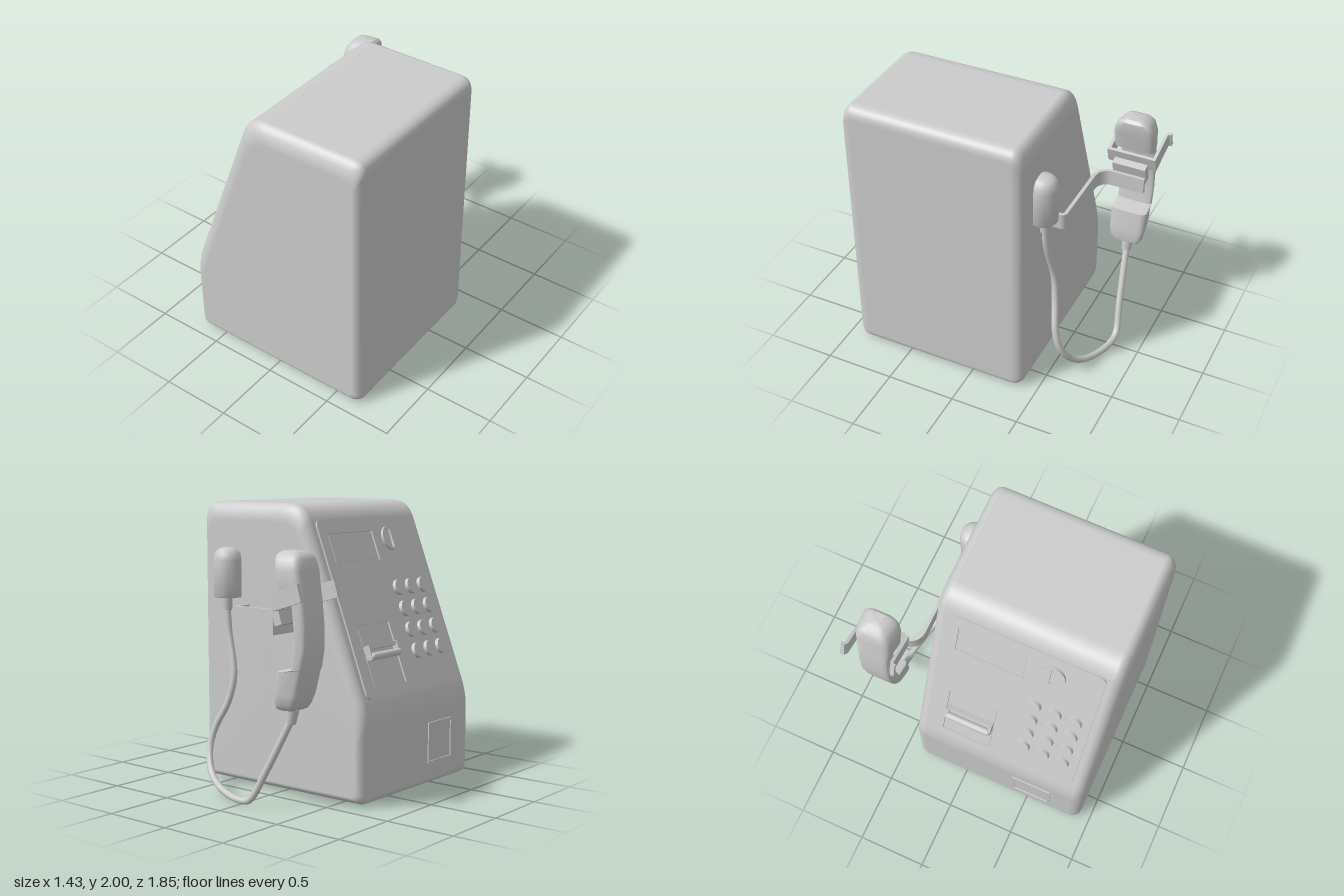
import * as THREE from 'three';
import { toCreasedNormals } from 'three/addons/utils/BufferGeometryUtils.js';

const grey = new THREE.MeshStandardMaterial({ color: 0xcccccc });

function add(parent, name, geo, x = 0, y = 0, z = 0) {
  const mesh = new THREE.Mesh(geo, grey);
  mesh.name = name;
  mesh.position.set(x, y, z);
  parent.add(mesh);
  return mesh;
}

// Skin over closed rings of points, with a fan cap on each end
function loft(rings) {
  const n = rings[0].length, pos = rings.flat(2), idx = [];
  for (let i = 0; i < rings.length - 1; i++)
    for (let j = 0; j < n; j++) {
      const a = i * n + j, b = i * n + (j + 1) % n;
      idx.push(a, b, b + n, a, b + n, a + n);
    }
  [0, rings.length - 1].forEach((r, end) => {
    const c = pos.length / 3;
    for (let k = 0; k < 3; k++) pos.push(rings[r].reduce((s, p) => s + p[k], 0) / n);
    for (let j = 0; j < n; j++) {
      const a = r * n + j, b = r * n + (j + 1) % n;
      if (end) idx.push(c, a, b); else idx.push(c, b, a);
    }
  });
  const g = new THREE.BufferGeometry();
  g.setAttribute('position', new THREE.Float32BufferAttribute(pos, 3));
  g.setIndex(idx);
  g.computeVertexNormals();
  return g;
}

// Case outline in x/y, each edge moved inwards by its own share, corners rounded
const CORNERS = [[-0.71, 0.015], [0.71, 0.015], [0.71, 2], [-0.18, 2], [-0.71, 0.62]];
const INSETS = [0.05, 0.06, 0.13, 0.1, 0.06];
const FILLETS = [0.05, 0.05, 0.09, 0.13, 0.1];
function caseRing(z, amount) {
  const lines = CORNERS.map(([x, y], i) => {
    const [x2, y2] = CORNERS[(i + 1) % 5];
    const l = Math.hypot(x2 - x, y2 - y), nx = (y2 - y) / l, ny = (x - x2) / l;
    return [nx, ny, nx * x + ny * y - INSETS[i] * amount];
  });
  const pts = lines.map(([a, b, d], i) => {
    const [p, q, e] = lines[(i + 4) % 5], det = p * b - q * a;
    return new THREE.Vector2((e * b - q * d) / det, (p * d - e * a) / det);
  });
  return pts.flatMap((c, i) => {
    const toward = (o) => o.clone().sub(c).setLength(FILLETS[i]).add(c);
    return new THREE.QuadraticBezierCurve(toward(pts[(i + 4) % 5]), c, toward(pts[(i + 1) % 5]))
      .getPoints(7).map((p) => [p.x, p.y, z]);
  });
}
function caseGeometry() {
  const rings = [], r = 0.08;
  for (let i = 0; i <= 7; i++) {
    const a = (i / 7) * Math.PI / 2;
    rings.push([-0.395 + r * (1 - Math.cos(a)), 1 - Math.sin(a)]);
  }
  const far = rings.map(([z, k]) => [0.525 - z, k]).reverse();
  return loft([...rings, ...far].map(([z, k]) => caseRing(z, k)));
}

function rect(P, x0, y0, x1, y1, r = 0.002) {
  const p = new P();
  p.moveTo(x0 + r, y0).lineTo(x1 - r, y0).quadraticCurveTo(x1, y0, x1, y0 + r)
    .lineTo(x1, y1 - r).quadraticCurveTo(x1, y1, x1 - r, y1)
    .lineTo(x0 + r, y1).quadraticCurveTo(x0, y1, x0, y1 - r)
    .lineTo(x0, y0 + r).quadraticCurveTo(x0, y0, x0 + r, y0);
  return p;
}
const slab = (shape, depth) => new THREE.ExtrudeGeometry(shape, { depth, bevelEnabled: false, curveSegments: 8 });

// Flat strap following a plan path of [x, z], standing on its edge
function strap(path, thick, height) {
  const p = path.map(([x, z]) => new THREE.Vector2(x, -z));
  const side = (s) => p.map((c, i) => {
    const d1 = c.clone().sub(p[Math.max(i - 1, 0)]).normalize();
    const d2 = p[Math.min(i + 1, p.length - 1)].clone().sub(c).normalize();
    const t = d1.clone().add(d2).normalize();
    const k = s * thick / 2 / Math.max(0.6, Math.max(t.dot(d1), t.dot(d2)));
    return new THREE.Vector2(c.x - t.y * k, c.y + t.x * k);
  });
  const g = slab(new THREE.Shape([...side(1), ...side(-1).reverse()]), height);
  return toCreasedNormals(g.rotateX(-Math.PI / 2), 0.6);
}

// Sloping control panel: local x runs along the case, y up the slope, z outwards
function controlPanel() {
  const g = new THREE.Group();
  g.name = 'controlPanel';
  g.position.set(-0.71, 0.62, 0);
  const up = new THREE.Vector3(0.53, 1.38, 0).normalize();
  const out = new THREE.Vector3(-up.y, up.x, 0);
  g.quaternion.setFromRotationMatrix(new THREE.Matrix4().makeBasis(new THREE.Vector3(0, 0, 1), up, out));

  const plate = rect(THREE.Shape, -0.29, 0.1, 0.81, 1.355, 0.05);
  plate.holes.push(rect(THREE.Path, -0.205, 1.04, 0.293, 1.256), rect(THREE.Path, -0.185, 0.165, 0.18, 0.6));
  add(g, 'panelPlate', slab(plate, 0.012));
  add(g, 'displayWindow', new THREE.BoxGeometry(0.47, 0.19, 0.006), 0.044, 1.148, 0.002);

  // Card reader: two lips with a slot between, held by end blocks
  add(g, 'cardPlate', new THREE.BoxGeometry(0.345, 0.41, 0.01), -0.002, 0.382, 0.002);
  const lip = new THREE.CapsuleGeometry(0.026, 0.29, 6, 12).rotateZ(Math.PI / 2);
  add(g, 'cardLowerLip', lip, -0.003, 0.375, 0.045);
  add(g, 'cardUpperLip', new THREE.BoxGeometry(0.3, 0.025, 0.045), -0.003, 0.44, 0.022);
  add(g, 'cardLipBase', new THREE.BoxGeometry(0.3, 0.04, 0.05), -0.003, 0.375, 0.022);
  for (const s of [-1, 1])
    add(g, 'cardEndBlock', new THREE.BoxGeometry(0.02, 0.1, 0.055), -0.003 + s * 0.16, 0.405, 0.027);

  // Keypad
  const key = new THREE.CylinderGeometry(0.054, 0.058, 0.032, 24).rotateX(Math.PI / 2);
  for (let row = 0; row < 4; row++)
    for (let col = 0; col < 3; col++)
      add(g, 'key', key, 0.4 + col * 0.147, 0.36 + row * 0.155, 0.02);

  // Coin entry: disc with a slot
  const disc = new THREE.Shape().absarc(0, 0, 0.09, 0, Math.PI * 2);
  disc.holes.push(rect(THREE.Path, -0.014, -0.07, 0.014, 0.07));
  add(g, 'coinSlot', toCreasedNormals(slab(disc, 0.022), 0.6), 0.47, 1.19, 0.008);
  return g;
}

// Handset: stations of [y, back x, front x, width in z]
const HANDSET = [
  [0.69, -0.45, -0.35, 0.16], [0.7, -0.475, -0.335, 0.21], [0.73, -0.495, -0.33, 0.25],
  [0.8, -0.525, -0.335, 0.275], [0.95, -0.565, -0.36, 0.28], [0.97, -0.57, -0.48, 0.27],
  [1.1, -0.592, -0.505, 0.27], [1.25, -0.59, -0.502, 0.27], [1.4, -0.575, -0.485, 0.27],
  [1.45, -0.566, -0.475, 0.275], [1.465, -0.563, -0.385, 0.3], [1.6, -0.545, -0.355, 0.31],
  [1.67, -0.53, -0.342, 0.27], [1.7, -0.51, -0.342, 0.21], [1.72, -0.47, -0.36, 0.13],
];
function handsetGeometry() {
  const soft = (v) => Math.sign(v) * Math.abs(v) ** 0.4;
  const rings = HANDSET.map(([y, xb, xf, w]) => Array.from({ length: 32 }, (_, j) => {
    const a = (j + 0.5) / 32 * Math.PI * 2, c = soft(Math.cos(a));
    const taper = 0.9 + 0.1 * c;
    return [(xb + xf) / 2 + c * (xf - xb) / 2, y, -0.725 - soft(Math.sin(a)) * w / 2 * taper];
  }));
  return toCreasedNormals(loft(rings), 0.7);
}

export function createModel() {
  const model = new THREE.Group();
  model.name = 'payphone';
  add(model, 'case', caseGeometry());
  model.add(controlPanel());

  // Coin return on the lower front
  const frame = rect(THREE.Shape, 0.38, 0.16, 0.68, 0.46, 0.01);
  frame.holes.push(rect(THREE.Path, 0.4, 0.18, 0.66, 0.44));
  add(model, 'coinReturnFrame', slab(frame, 0.01).rotateY(-Math.PI / 2), -0.708);

  // Cord housing on the side wall
  const dome = [[0, 1.34], [0.095, 1.34], [0.102, 1.35], [0.102, 1.6], [0.094, 1.645], [0.07, 1.675], [0.04, 1.686], [0, 1.69]];
  add(model, 'cordHousing', toCreasedNormals(
    new THREE.LatheGeometry(dome.map((p) => new THREE.Vector2(...p)), 24), 0.7), 0.44, 0, -0.425);
  add(model, 'cordHousingNeck', new THREE.CylinderGeometry(0.04, 0.034, 0.1, 16), 0.44, 1.3, -0.44);

  // Cord
  const cord = new THREE.CatmullRomCurve3([
    [0.44, 1.28, -0.44], [0.42, 1.1, -0.445], [0.35, 0.8, -0.475], [0.38, 0.62, -0.5],
    [0.47, 0.42, -0.545], [0.48, 0.28, -0.59], [0.4, 0.14, -0.66], [0.25, 0.06, -0.73],
    [0.02, 0.025, -0.79], [-0.08, 0.045, -0.795], [-0.2, 0.25, -0.765], [-0.39, 0.62, -0.725],
  ].map((p) => new THREE.Vector3(...p)));
  add(model, 'cord', new THREE.TubeGeometry(cord, 120, 0.024, 12));

  add(model, 'handset', handsetGeometry());
  add(model, 'handsetNeck', new THREE.CylinderGeometry(0.042, 0.034, 0.1, 16), -0.395, 0.645, -0.725).rotation.z = 0.2;

  // Wall bracket: bent strap out to the cradle
  const bend = (cx, cz, r, from, to) => Array.from({ length: 7 }, (_, i) => {
    const a = from + (to - from) * i / 6;
    return [cx + r * Math.cos(a), cz + r * Math.sin(a)];
  });
  const H = Math.PI / 2;
  add(model, 'wallBracket', strap([[0.285, -0.39], ...bend(0.255, -0.48, 0.03, 0, -H),
    ...bend(-0.225, -0.61, 0.1, H, 2 * H), [-0.325, -0.845]], 0.025, 0.115), 0, 1.18, 0);
  add(model, 'cradleMount', new THREE.BoxGeometry(0.06, 0.14, 0.24), -0.362, 1.315, -0.725).rotation.z = -0.3;

  // Cradle: forked strap with flared tips
  const half = [[-0.25, 0.2], [-0.249, 0.178], [-0.232, 0.167], [0, 0.165]];
  const other = half.map(([x, z]) => [x, -z]).reverse();
  add(model, 'cradle', strap([...half, ...other], 0.022, 0.115), -0.39, 1.345, -0.727).rotation.z = -0.3;

  return model;
}
